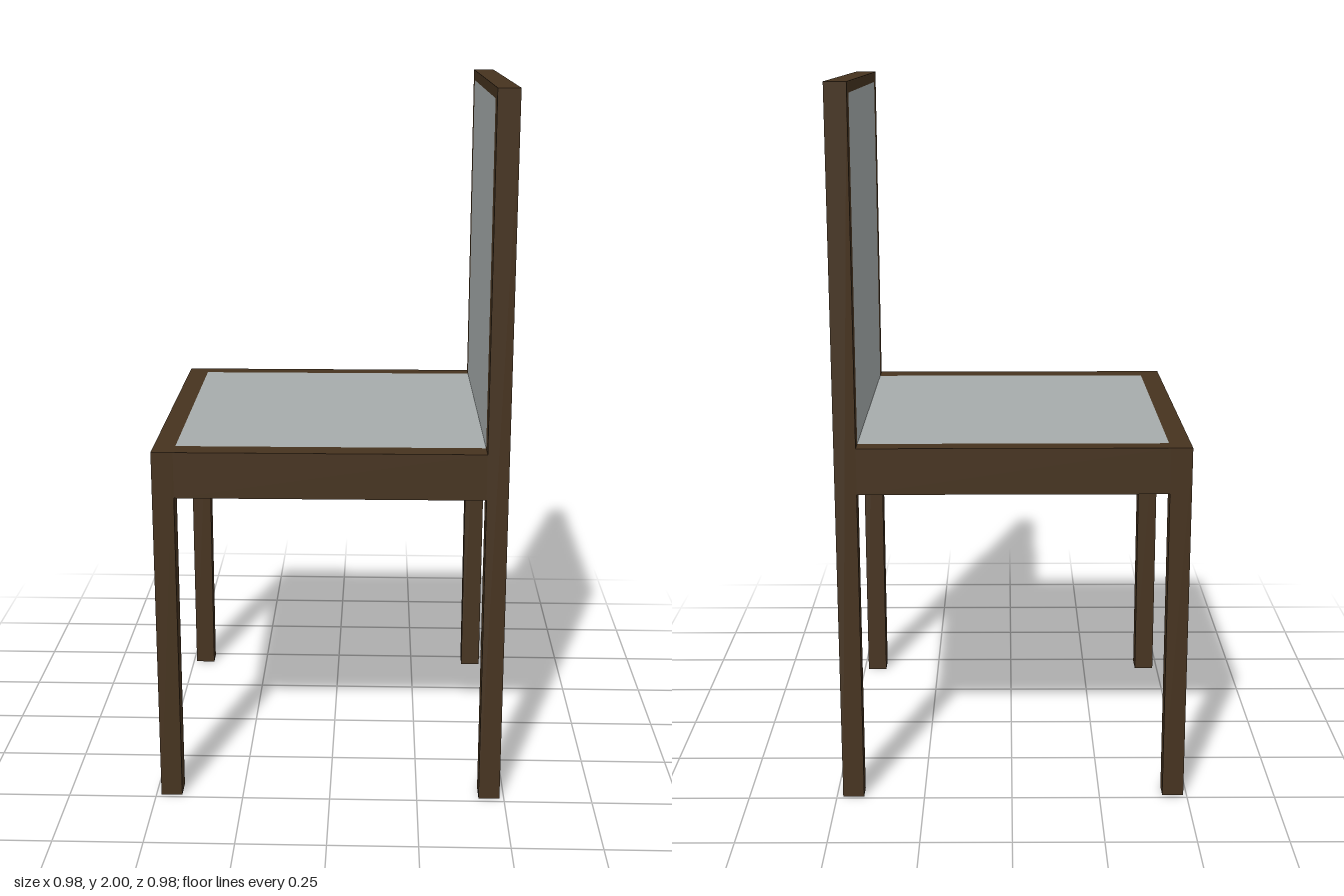
import * as THREE from 'three';

export function createModel() {
  const chair = new THREE.Group();
  chair.name = 'chair';
  const wood = new THREE.MeshStandardMaterial({ color: 0x46331f });
  const panel = new THREE.MeshStandardMaterial({ color: 0xa6acac });
  const black = new THREE.MeshStandardMaterial({ color: 0x050505 });

  // Box given by its limits on each axis
  function box(name, [x0, x1], [y0, y1], [z0, z1], material) {
    const mesh = new THREE.Mesh(new THREE.BoxGeometry(x1 - x0, y1 - y0, z1 - z0), material);
    mesh.position.set((x0 + x1) / 2, (y0 + y1) / 2, (z0 + z1) / 2);
    mesh.name = name;
    chair.add(mesh);
    return mesh;
  }

  // Rails and legs share these bands; the backrest stands at +x
  const front = [-0.488, -0.428], back = [0.425, 0.485], midX = [-0.428, 0.425];
  const sideA = [-0.488, -0.437], sideB = [0.422, 0.485], midZ = [-0.437, 0.422];
  const apron = [0.9, 1.03];

  // Legs, rear posts and side aprons
  for (const [side, z] of [['Right', sideA], ['Left', sideB]]) {
    box('seatLeg' + side, front, [0, 1.03], z, wood);
    box('backPost' + side, back, [0, 2], z, wood);
    box('sideApron' + side, midX, apron, z, wood);
  }

  // Cross rails
  box('seatEdgeApron', front, apron, midZ, wood);
  box('backApron', back, apron, midZ, wood);
  box('topRail', back, [1.97, 2], midZ, wood);

  // Seat and backrest panels, flush with the frame
  box('seatPanel', midX, apron, midZ, panel);
  box('backPanel', back, [1.03, 1.97], midZ, panel);

  // Thin crossed strips on the rear of the backrest
  const corners = [[0.14, 1.66], [-0.125, 1.66], [0.135, 1.432], [-0.135, 1.432]];
  corners.forEach(([z0, y0], i) => {
    const [z1, y1] = corners[(i + 1) % 4];
    const length = Math.hypot(z1 - z0, y1 - y0) + 0.008;
    const strip = new THREE.Mesh(new THREE.BoxGeometry(0.006, 0.009, length), black);
    strip.position.set(0.487, (y0 + y1) / 2, (z0 + z1) / 2);
    strip.rotation.x = -Math.atan2(y1 - y0, z1 - z0);
    strip.name = 'backStrip' + (i + 1);
    chair.add(strip);
  });

  // The chair stands very slightly turned
  chair.rotation.y = 0.005;
  const model = new THREE.Group();
  model.add(chair);
  return model;
}
